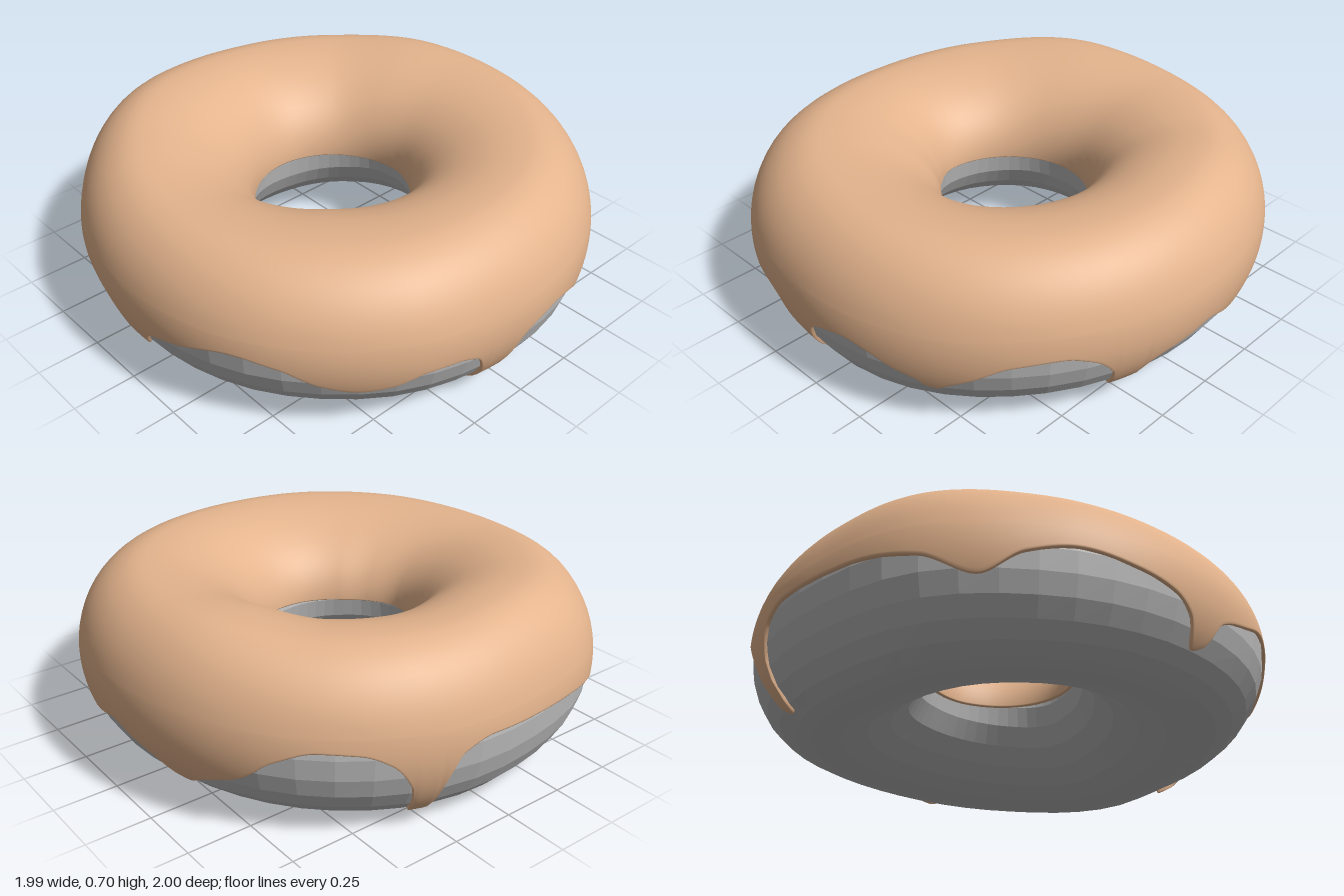
import * as THREE from 'three';

const TAU = Math.PI * 2;

// Periodic smooth curve through [degrees, value, degrees, value, ...] without overshoot
function loopCurve(flat) {
  const keys = [];
  for (let i = 0; i < flat.length; i += 2) keys.push([flat[i], flat[i + 1]]);
  const n = keys.length;
  const key = (i) => {
    const turn = Math.floor(i / n);
    const k = keys[i - turn * n];
    return [k[0] + 360 * turn, k[1]];
  };
  const slope = (i) => (key(i + 1)[1] - key(i)[1]) / (key(i + 1)[0] - key(i)[0]);
  const tangent = (i) => {
    const a = slope(i - 1), b = slope(i);
    return a * b <= 0 ? 0 : (2 * a * b) / (a + b);
  };
  return (angle) => {
    let d = ((angle * 360 / TAU) % 360 + 360) % 360;
    if (d < keys[0][0]) d += 360;
    let i = 0;
    while (key(i + 1)[0] <= d) i++;
    const [d0, v0] = key(i), [d1, v1] = key(i + 1);
    const w = d1 - d0, s = (d - d0) / w, q = 1 - s;
    return v0 * (1 + 2 * s) * q * q + tangent(i) * w * s * q * q
      + v1 * s * s * (3 - 2 * s) - tangent(i + 1) * w * s * s * q;
  };
}

// Uneven ring: outer and hole radius, top and bottom height by angle (0 = +x, 90 = front)
const outerR = loopCurve([0, 0.995, 34, 1, 60, 1.005, 93, 0.997, 120, 1.015, 143, 1.015,
  180, 0.993, 215, 1.0, 241, 1.02, 265, 1, 308, 1.005, 330, 1]);
const holeR = loopCurve([0, 0.315, 27, 0.305, 56, 0.295, 90, 0.28, 132, 0.27, 156, 0.295,
  180, 0.325, 226, 0.32, 270, 0.325, 300, 0.32, 330, 0.315]);
const topY = loopCurve([0, 0.69, 45, 0.67, 90, 0.66, 135, 0.655, 180, 0.645, 215, 0.67,
  250, 0.7, 285, 0.68, 310, 0.68, 340, 0.7]);
const bottomY = loopCurve([0, 0.055, 40, 0.035, 80, 0, 97, 0.015, 115, 0.03, 150, 0.045,
  180, 0.045, 225, 0.03, 270, 0.01, 315, 0.035]);

// Lower outer edge of the icing, with its drips
const icingEdge = loopCurve([0, 0.285, 6, 0.26, 13.5, 0.225, 16, 0.19, 17.5, 0.09, 20, 0.07,
  22.5, 0.09, 24, 0.22, 29, 0.31, 35, 0.34, 45, 0.32, 53, 0.25, 57, 0.215, 60, 0.185, 62, 0.19,
  64, 0.22, 69, 0.25, 74, 0.29, 80, 0.31, 84, 0.3, 90, 0.26, 93, 0.15, 95.5, 0.04, 97.2, 0.02,
  99, 0.05, 100, 0.16, 103, 0.265, 108, 0.29, 114, 0.285, 121, 0.24, 127, 0.225, 135, 0.26,
  143, 0.33, 152, 0.355, 165, 0.3, 174, 0.25, 178, 0.15, 181, 0.13, 184, 0.23, 189, 0.29,
  198, 0.33, 210, 0.36, 220, 0.33, 229, 0.25, 240, 0.33, 255, 0.365, 275, 0.37, 282, 0.33,
  285.5, 0.2, 287, 0.06, 289, 0.035, 291, 0.06, 292, 0.2, 297, 0.33, 303, 0.375, 311, 0.385,
  319, 0.34, 326, 0.25, 333, 0.2, 337, 0.17, 340, 0.14, 343, 0.15, 348, 0.21, 354, 0.25]);
const innerEdge = 0.35;
const icingDepth = 0.011;

// Cross-section of the iced ring: full outside, gently funnelled towards the hole
function section(a) {
  const ro = outerR(a), ri = holeR(a), hi = topY(a), lo = bottomY(a) - icingDepth;
  const r = ri + (ro - ri) * 0.62;
  return { r, y: (hi + lo) / 2, outer: ro - r, inner: r - ri, h: (hi - lo) / 2 };
}

function ringPoint(s, a, t, inset) {
  const c = Math.cos(t);
  const r = s.r + ((c > 0 ? s.outer : s.inner) - inset) * c;
  return [r * Math.cos(a), s.y + (s.h - inset) * Math.sin(t), r * Math.sin(a)];
}

// Skin a closed loop of cross-sections; rowOf(angle) gives one row of points
function skinRing(segments, rowOf) {
  const pos = [], index = [];
  let m = 0;
  for (let i = 0; i < segments; i++) {
    const row = rowOf((i / segments) * TAU);
    m = row.length;
    row.forEach((p) => pos.push(...p));
  }
  for (let i = 0; i < segments; i++) {
    const u = i * m, v = ((i + 1) % segments) * m;
    for (let j = 0; j < m - 1; j++) {
      index.push(u + j, u + j + 1, v + j, v + j, u + j + 1, v + j + 1);
    }
  }
  const g = new THREE.BufferGeometry();
  g.setAttribute('position', new THREE.Float32BufferAttribute(pos, 3));
  g.setIndex(index);
  g.computeVertexNormals();
  return g;
}

export function createModel() {
  const group = new THREE.Group();
  group.name = 'ringDoughnut';

  const doughGrey = new THREE.MeshStandardMaterial({ color: 0xbcbcbc });
  doughGrey.name = 'doughGrey';
  const icingTan = new THREE.MeshStandardMaterial({ color: 0xe4b48d });
  icingTan.name = 'icingTan';

  // Faceted dough ring
  const doughGeo = skinRing(48, (a) => {
    const s = section(a), row = [];
    for (let j = 0; j <= 24; j++) row.push(ringPoint(s, a, (j / 24) * TAU, icingDepth));
    return row;
  }).toNonIndexed();
  doughGeo.computeVertexNormals();
  const dough = new THREE.Mesh(doughGeo, doughGrey);
  dough.name = 'dough';
  group.add(dough);

  // Smooth icing shell: dripping skirt, even cap, and a rounded rim tucked into the dough
  const rim = [[0.015, 0.022], [0.022, 0.008], [0.012, 0.002]];
  const capStart = 0.25, skirtRows = 16, capRows = 28;
  const icing = new THREE.Mesh(skinRing(600, (a) => {
    const s = section(a), row = [];
    const tilt = (y) => Math.asin(THREE.MathUtils.clamp((y - s.y) / s.h, -0.97, 0.97));
    const t0 = tilt(icingEdge(a)), t1 = Math.PI - tilt(innerEdge);
    rim.forEach(([dt, inset]) => row.push(ringPoint(s, a, t0 - dt, inset)));
    for (let j = 0; j < skirtRows; j++) {
      row.push(ringPoint(s, a, t0 + (capStart - t0) * (j / skirtRows), 0));
    }
    for (let j = 0; j <= capRows; j++) {
      row.push(ringPoint(s, a, capStart + (t1 - capStart) * (j / capRows), 0));
    }
    [...rim].reverse().forEach(([dt, inset]) => row.push(ringPoint(s, a, t1 + dt, inset)));
    return row;
  }), icingTan);
  icing.name = 'icing';
  group.add(icing);

  return group;
}
